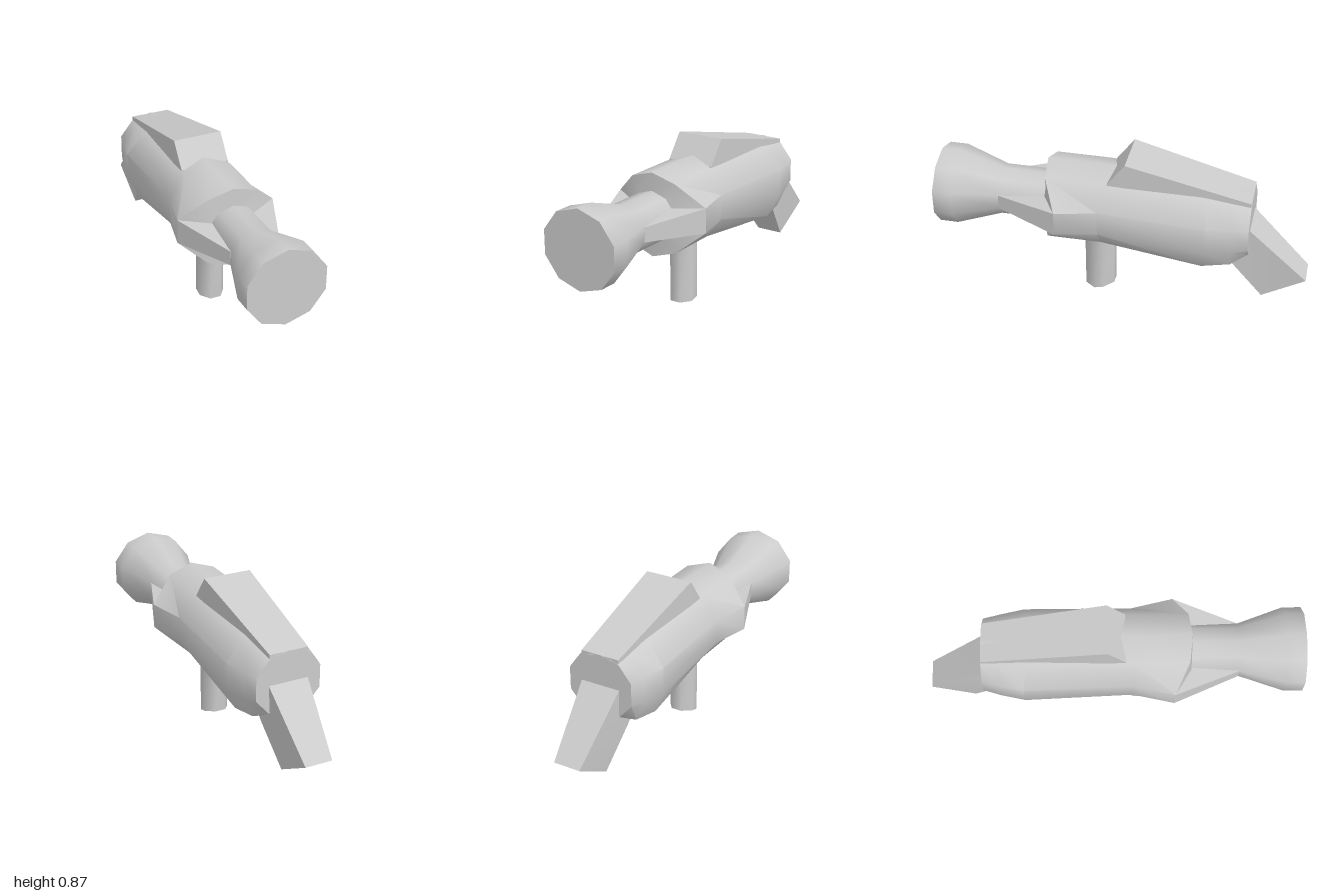
import * as THREE from 'three';
import { toCreasedNormals } from 'three/addons/utils/BufferGeometryUtils.js';

const material = new THREE.MeshStandardMaterial({ color: 0xcccccc });

// Skins a row of equal-length rings and closes both ends.
// Rings run counter-clockwise as seen from the starting end.
function loft(name, rings, crease = 0.72) {
  const n = rings[0].length;
  const positions = [];
  const tri = (a, b, c) => positions.push(...a, ...b, ...c);
  const middle = (ring) => [0, 1, 2].map((k) => ring.reduce((s, p) => s + p[k], 0) / n);
  const first = rings[0], last = rings[rings.length - 1];
  const c0 = middle(first), c1 = middle(last);
  for (let j = 0; j < n; j++) {
    const k = (j + 1) % n;
    for (let i = 0; i < rings.length - 1; i++) {
      const a = rings[i], b = rings[i + 1];
      tri(a[j], b[j], a[k]);
      tri(a[k], b[j], b[k]);
    }
    tri(c0, first[j], first[k]);
    tri(c1, last[k], last[j]);
  }
  const geometry = new THREE.BufferGeometry();
  geometry.setAttribute('position', new THREE.Float32BufferAttribute(positions, 3));
  const mesh = new THREE.Mesh(toCreasedNormals(geometry, crease), material);
  mesh.name = name;
  return mesh;
}

// Completes a half ring (bottom centre up the +x side to top centre)
const mirrorRing = (half) => [
  ...half,
  ...half.slice(1, -1).reverse().map(([x, y, z]) => [-x, y, z]),
];

// Ten-sided ring with a corner at the top and bottom
function decagon(r, z, y = 0.552) {
  const ring = [];
  for (let i = 0; i < 10; i++) {
    const a = -Math.PI / 2 + (i * Math.PI) / 5;
    ring.push([Math.cos(a) * r * 1.05, y + Math.sin(a) * r, z]);
  }
  return ring;
}

// Symmetric four-cornered ring
const quad = (w, bottom, top) => [
  [-w, ...bottom], [w, ...bottom], [w, ...top], [-w, ...top],
];

export function createModel() {
  const model = new THREE.Group();
  model.name = 'blaster';

  // Barrel with flared muzzle
  model.add(loft('barrel', [
    decagon(0.212, 1), decagon(0.212, 0.9), decagon(0.133, 0.66), decagon(0.133, 0.3),
  ]));

  // Main body: inner collar, swept front rim, then narrowing to the rear
  const section = (z, points) => mirrorRing(points.map(([x, y, dz = 0]) => [x, y, z + dz]));
  model.add(loft('body', [
    decagon(0.128, 0.41),
    section(0.41, [[0, 0.328], [0.133, 0.368, -0.015], [0.27, 0.483, -0.09],
      [0.27, 0.617, -0.09], [0.133, 0.74, -0.015], [0, 0.783]]),
    section(0.1, [[0, 0.328], [0.133, 0.37], [0.22, 0.483],
      [0.22, 0.617], [0.133, 0.74], [0, 0.783]]),
    section(-0.45, [[0, 0.285, 0.11], [0.17, 0.325], [0.23, 0.45, -0.02],
      [0.23, 0.6, -0.02], [0.133, 0.72], [0, 0.755]]),
    section(-0.6, [[0, 0.32], [0.15, 0.345], [0.202, 0.455],
      [0.202, 0.6], [0.117, 0.7], [0, 0.735]]),
    section(-0.69, [[0, 0.37], [0.11, 0.395], [0.18, 0.475],
      [0.18, 0.6], [0.107, 0.69], [0, 0.715]]),
  ]));

  // Raised sight housing on top
  model.add(loft('sightHousing', [
    quad(0.133, [0.7, 0.065], [0.745, 0.065]),
    quad(0.133, [0.7, -0.03], [0.873, -0.03]),
    quad(0.107, [0.6, -0.688], [0.712, -0.688]),
  ], 0.5));

  // Tapered side spikes bracing body and barrel
  for (const s of [1, -1]) {
    const rect = (xOut, xIn, lo, hi, zOut, zIn) => {
      const ring = [[s * xIn, lo, zIn], [s * xOut, lo, zOut], [s * xOut, hi, zOut], [s * xIn, hi, zIn]];
      return s > 0 ? ring : ring.reverse();
    };
    const spike = loft('sideSpike', [
      rect(0.135, 0.08, 0.513, 0.592, 0.66, 0.66),
      rect(0.27, 0.08, 0.483, 0.617, 0.32, 0.36),
    ], 0.4);
    model.add(spike);
  }

  // Front hand grip with rounded sides and a raised rear bottom edge
  const outline = [[0.03, 0.21], [0.07, 0.155], [0.07, 0.105], [0.03, 0.05],
    [-0.03, 0.05], [-0.07, 0.105], [-0.07, 0.155], [-0.03, 0.21]];
  model.add(loft('frontGrip', [
    outline.map(([x, z]) => [x, 0.4, z]),
    outline.map(([x, z]) => [x, Math.max(0, (0.155 - z) * 0.25), z]),
  ], 0.95));

  // Tapered rear stock angled down and back
  model.add(loft('stock', [
    quad(0.112, [0.38, -0.56], [0.6, -0.635]),
    quad(0.11, [0.32, -0.61], [0.545, -0.69]),
    quad(0.075, [0.107, -0.77], [0.24, -1]),
  ], 0.4));

  return model;
}
